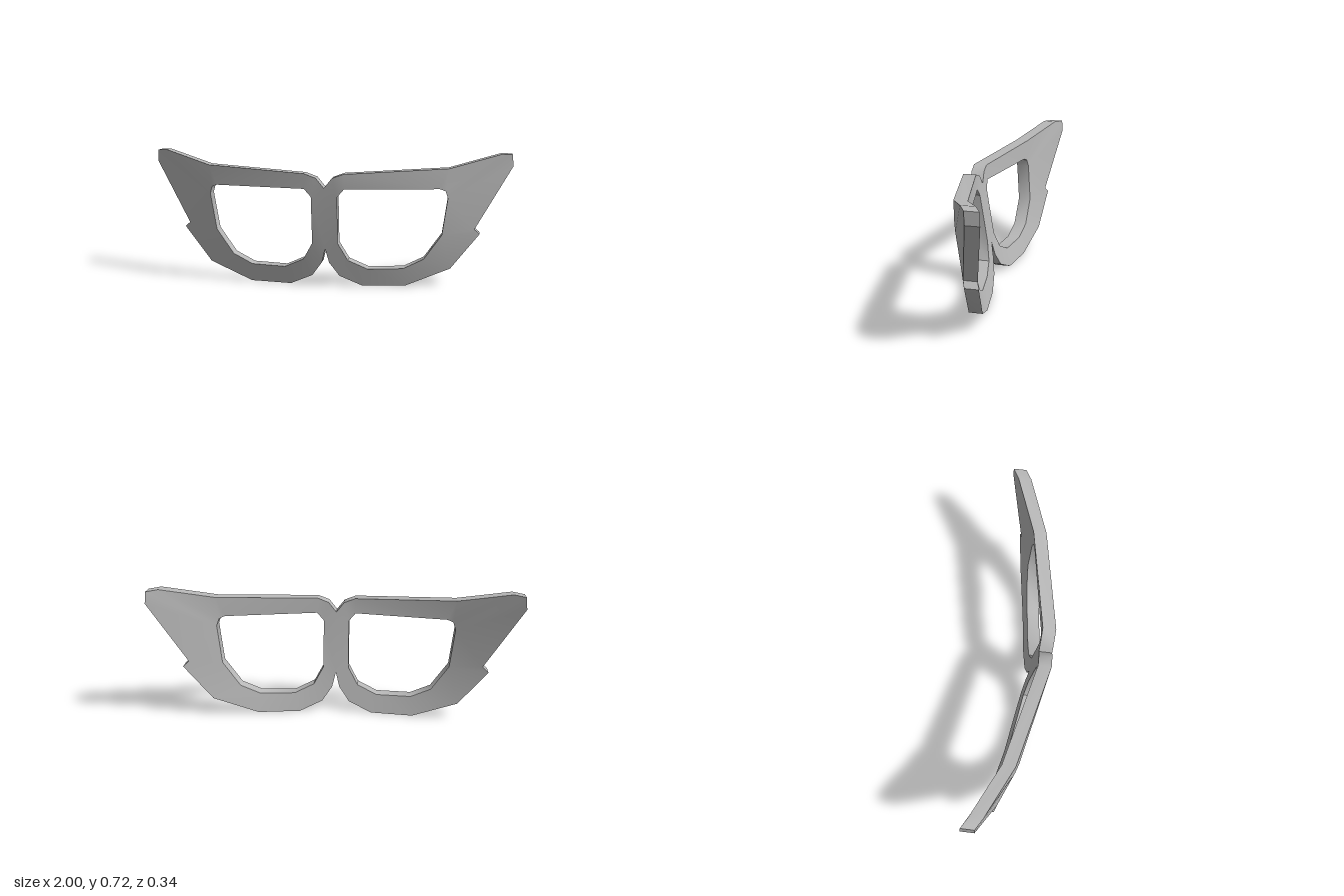
import * as THREE from 'three';
import { toCreasedNormals } from 'three/addons/utils/BufferGeometryUtils.js';

const DEPTH = 0.071;

// Left half of the rim, front edge [x, y, z], clockwise from the top of the bridge
const OUTER = [
  [0, 0.553, 0.165], [0.043, 0.607, 0.169], [0.105, 0.63, 0.172], [0.655, 0.655, 0.056],
  [0.935, 0.724, -0.062], [0.995, 0.719, -0.096], [1, 0.655, -0.1], [0.8, 0.315, -0.03],
  [0.83, 0.288, -0.043], [0.675, 0.095, -0.018], [0.43, 0, 0.025], [0.2, 0, 0.057],
  [0.075, 0.057, 0.08], [0.02, 0.135, 0.1], [0, 0.215, 0.115],
];
// Lens opening, clockwise from its inner top corner
const INNER = [
  [0.107, 0.548, 0.165], [0.61, 0.547, 0.068], [0.64, 0.535, 0.058], [0.653, 0.495, 0.05],
  [0.625, 0.29, 0.031], [0.53, 0.155, 0.037], [0.42, 0.103, 0.053], [0.23, 0.1, 0.08],
  [0.123, 0.15, 0.098], [0.07, 0.245, 0.12], [0.07, 0.505, 0.161],
];
// Rungs joining an outer point to an inner point
const RUNGS = [
  [0, 10], [1, 10], [2, 0], [3, 1], [3, 2], [4, 2], [4, 3], [5, 3], [6, 3], [7, 3], [7, 4],
  [8, 4], [9, 4], [9, 5], [10, 6], [11, 7], [12, 8], [13, 9], [14, 9], [0, 10],
];

function frameGeometry() {
  const positions = [];
  const back = (p) => [p[0], p[1], p[2] - DEPTH];

  // Adds a triangle and its mirror image
  const tri = (a, b, c) => {
    if (a === b || b === c || a === c) return;
    positions.push(...a, ...b, ...c);
    for (const p of [a, c, b]) positions.push(-p[0], p[1], p[2]);
  };
  const wall = (a, b) => {
    const a2 = back(a), b2 = back(b);
    tri(a, b, b2);
    tri(a, b2, a2);
  };

  // Front and back faces
  for (let i = 0; i < RUNGS.length - 1; i++) {
    const o = OUTER[RUNGS[i][0]], n = INNER[RUNGS[i][1]];
    const o2 = OUTER[RUNGS[i + 1][0]], n2 = INNER[RUNGS[i + 1][1]];
    for (const [a, b, c] of [[o, n, n2], [o, n2, o2]]) {
      if (a === b || b === c || a === c) continue;
      tri(a, b, c);
      tri(back(a), back(c), back(b));
    }
  }
  // Outer rim, left open along the middle of the bridge
  for (let i = 0; i < OUTER.length - 1; i++) wall(OUTER[i], OUTER[i + 1]);
  // Lens opening rim
  INNER.forEach((p, i) => wall(INNER[(i + 1) % INNER.length], p));

  const geometry = new THREE.BufferGeometry();
  geometry.setAttribute('position', new THREE.Float32BufferAttribute(positions, 3));
  return toCreasedNormals(geometry, 0.6);
}

export function createModel() {
  const grey = new THREE.MeshStandardMaterial({ color: 0xb8b8b8 });
  grey.name = 'grey';

  const frame = new THREE.Mesh(frameGeometry(), grey);
  frame.name = 'glassesFrame';

  const group = new THREE.Group();
  group.name = 'wingedGlasses';
  group.add(frame);
  return group;
}
